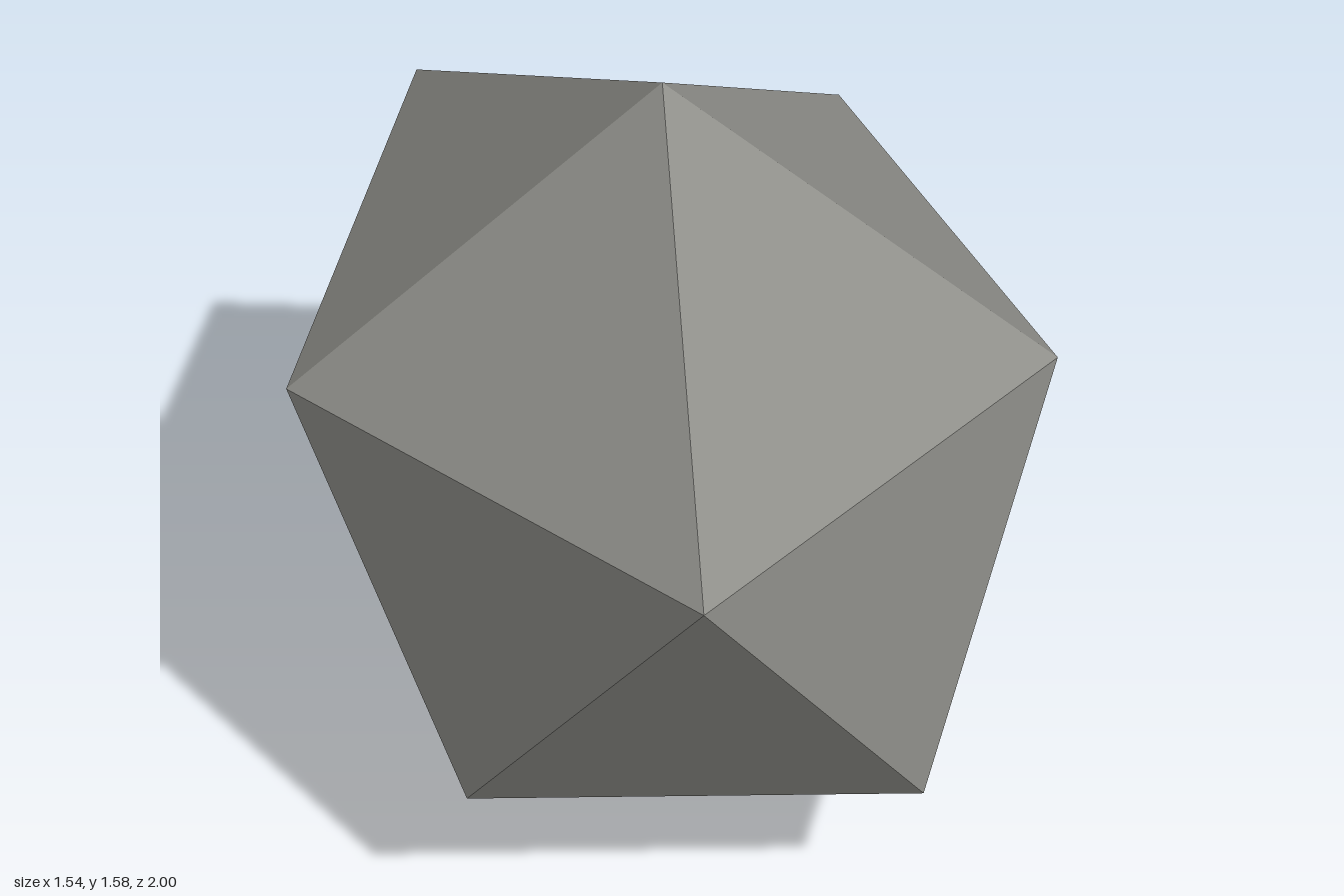
import * as THREE from 'three';

// Faceted boulder: two poles joined by two staggered rings of five corners
export function createModel() {
  const stone = new THREE.MeshStandardMaterial({ color: 0x888883, flatShading: true });
  stone.name = 'stone grey';

  const top = [-0.05, 1.575, -0.03];
  const bottom = [-0.05, 0, -0.025];
  const upper = [
    [0.25, 1.125, 1.0], [0.77, 1.092, 0.05], [0.17, 1.075, -0.875],
    [-0.77, 1.12, -0.71], [-0.695, 1.095, 0.475],
  ];
  // lower[i] sits between upper[i] and upper[i + 1]
  const lower = [
    [0.617, 0.385, 0.6], [0.648, 0.355, -0.57], [-0.33, 0.367, -1.0],
    [-0.75, 0.43, -0.09], [-0.265, 0.4, 0.82],
  ];

  const corners = [];
  for (let i = 0; i < 5; i++) {
    const j = (i + 1) % 5;
    corners.push(top, upper[i], upper[j]); // cap
    corners.push(upper[i], lower[i], upper[j]); // side, pointing down
    corners.push(upper[j], lower[i], lower[j]); // side, pointing up
    corners.push(bottom, lower[j], lower[i]); // base
  }

  const geometry = new THREE.BufferGeometry();
  geometry.setAttribute('position', new THREE.Float32BufferAttribute(corners.flat(), 3));
  geometry.computeVertexNormals();

  const boulder = new THREE.Mesh(geometry, stone);
  boulder.name = 'boulder';
  const group = new THREE.Group();
  group.name = 'rock';
  group.add(boulder);
  return group;
}
